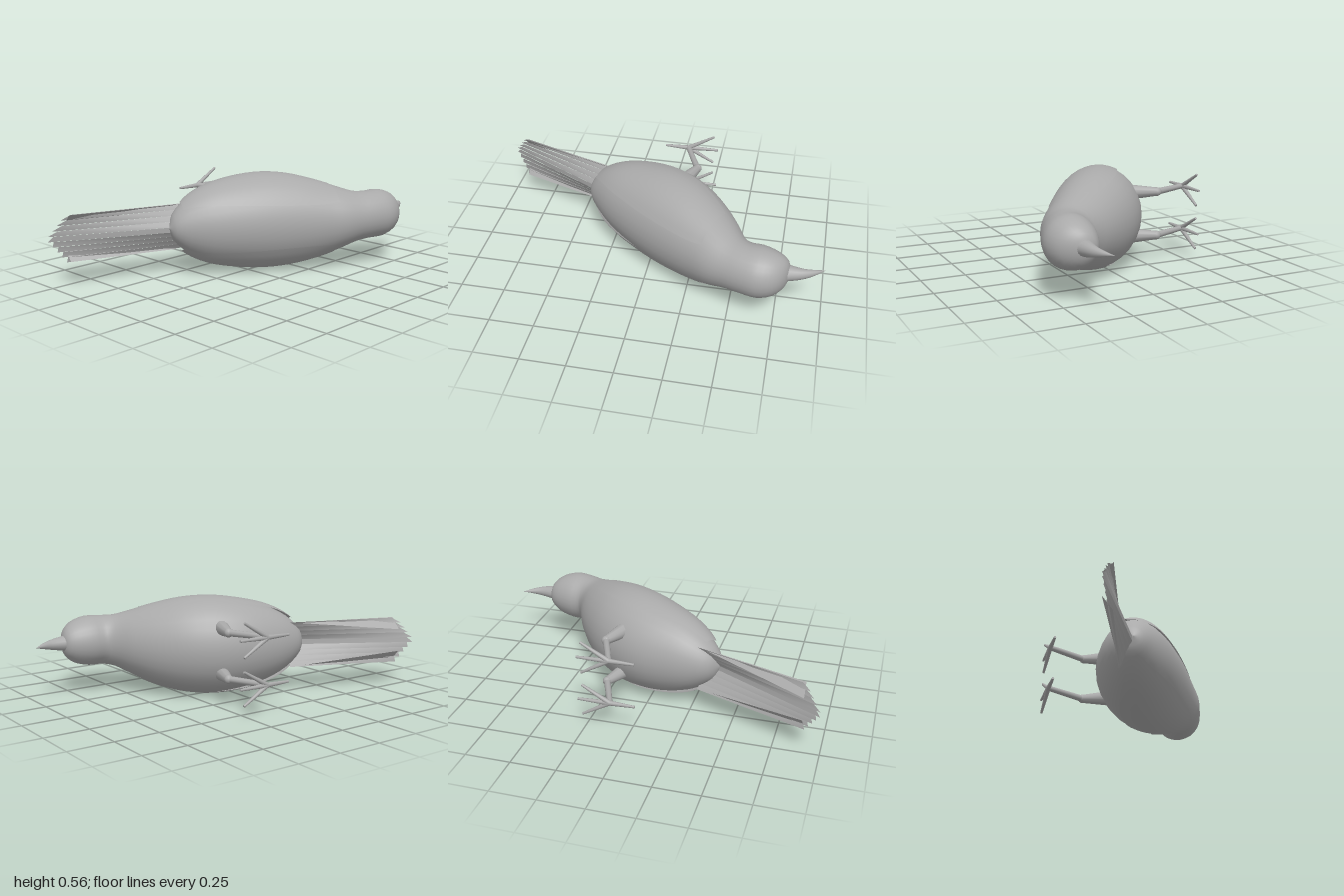
import * as THREE from 'three';

const plumage = new THREE.MeshStandardMaterial({ color: 0xaaaaaa, side: THREE.DoubleSide });
plumage.name = 'grey plumage';
const V = (x, y, z) => new THREE.Vector3(x, y, z);

// The bird lies on its side: its back faces +z, its beak +x, its flanks +y and -y.
// Each section: back x, back z, belly x, belly z, half width, centre y
const BODY = [
  [-0.41, -0.21, -0.41, -0.21, 0, 0.28],
  [-0.405, -0.15, -0.35, -0.28, 0.075, 0.28],
  [-0.36, -0.08, -0.24, -0.31, 0.15, 0.28],
  [-0.27, 0.02, -0.12, -0.315, 0.21, 0.28],
  [-0.14, 0.13, 0.05, -0.295, 0.254, 0.28],
  [0, 0.23, 0.2, -0.235, 0.275, 0.28],
  [0.14, 0.32, 0.33, -0.14, 0.265, 0.28],
  [0.27, 0.4, 0.44, -0.01, 0.228, 0.28],
  [0.36, 0.455, 0.52, 0.12, 0.185, 0.285],
  [0.46, 0.495, 0.57, 0.23, 0.148, 0.292],
  [0.56, 0.535, 0.6, 0.267, 0.14, 0.297],
  [0.65, 0.557, 0.67, 0.277, 0.141, 0.298],
  [0.735, 0.535, 0.75, 0.305, 0.118, 0.298],
  [0.79, 0.48, 0.805, 0.345, 0.073, 0.3],
  [0.82, 0.41, 0.82, 0.41, 0, 0.3],
];
const BEAK = [
  [0.79, 0.455, 0.79, 0.355, 0.045, 0.3],
  [0.88, 0.43, 0.885, 0.373, 0.029, 0.302],
  [0.945, 0.396, 0.945, 0.365, 0.015, 0.304],
  [1, 0.35, 1, 0.35, 0, 0.305],
];

// Returns a surface function: position along the sections, angle from the back, swelling
function surface(sections) {
  const back = new THREE.CatmullRomCurve3(sections.map((s) => V(s[0], s[5], s[1])));
  const belly = new THREE.CatmullRomCurve3(sections.map((s) => V(s[2], s[4], s[3])));
  return (index, angle, scale = 1) => {
    const t = index / (sections.length - 1);
    const b = back.getPoint(t), a = belly.getPoint(t);
    const c = Math.cos(angle) * scale, s = Math.sin(angle) * scale;
    return V((b.x + a.x) / 2 + c * (b.x - a.x) / 2, b.y + s * a.y, (b.z + a.z) / 2 + c * (b.z - a.z) / 2);
  };
}

// Grid of points from fn(u, v), optionally closed around v
function grid(name, nu, nv, closed, fn) {
  const pos = [], idx = [], cols = closed ? nv : nv + 1;
  for (let i = 0; i <= nu; i++)
    for (let j = 0; j < cols; j++) pos.push(...fn(i / nu, j / nv).toArray());
  for (let i = 0; i < nu; i++)
    for (let j = 0; j < nv; j++) {
      const k = (j + 1) % cols;
      const a = i * cols + j, b = a + cols, c = (i + 1) * cols + k, d = i * cols + k;
      idx.push(a, b, c, a, c, d);
    }
  const g = new THREE.BufferGeometry();
  g.setAttribute('position', new THREE.Float32BufferAttribute(pos, 3));
  g.setIndex(idx);
  g.computeVertexNormals();
  return named(name, g);
}

function named(name, geometry) {
  const mesh = new THREE.Mesh(geometry, plumage);
  mesh.name = name;
  return mesh;
}

// Tapered round limb between two points
function limb(name, a, b, ra, rb, sides = 10) {
  const dir = b.clone().sub(a);
  const mesh = named(name, new THREE.CylinderGeometry(rb, ra, dir.length(), sides));
  mesh.position.copy(a).add(b).multiplyScalar(0.5);
  mesh.quaternion.setFromUnitVectors(V(0, 1, 0), dir.normalize());
  return mesh;
}

function ball(name, p, r) {
  const mesh = named(name, new THREE.SphereGeometry(r, 12, 8));
  mesh.position.copy(p);
  return mesh;
}

function makeLeg(side) {
  const leg = new THREE.Group();
  leg.name = side > 0 ? 'upperLeg' : 'lowerLeg';
  const y = 0.28 + side * 0.127;
  const hip = V(0.14, y, -0.16), ankle = V(0.205, y, -0.33), foot = V(0.115, y, -0.55);
  leg.add(limb('thigh', hip, ankle, 0.046, 0.024), ball('hip', hip, 0.046), ball('ankle', ankle, 0.025));
  leg.add(limb('shank', ankle, foot, 0.019, 0.015));
  // Three front toes and one hind toe
  for (const [x, dy] of [[0.27, -0.09], [0.295, 0], [0.27, 0.09], [-0.025, 0]])
    leg.add(limb('toe', V(0.115, y, -0.55), V(x, y + dy, -0.553), 0.014, 0.007, 8));
  return leg;
}

function makeTail() {
  const tail = new THREE.Group();
  tail.name = 'tail';
  const count = 9;
  // Point on the fan: u across (-1..1), v from rump to tip
  const fan = (u, v, reach) => {
    const m = Math.abs(u);
    const base = V(-0.34 + 0.05 * m, 0.268 + 0.13 * u, -0.17 - 0.085 * m);
    const tip = V(-1 + 0.09 * m + reach, 0.263 + 0.132 * u, -0.54 + 0.06 * m);
    return base.lerp(tip, v);
  };
  for (let i = 0; i < count; i++) {
    const u0 = -1 + (2 * i) / count, u1 = u0 + 2 / count;
    // Feathers overlap like shingles and end in slanted tips
    tail.add(grid('tailFeather', 2, 1, false, (v, w) => {
      const p = fan(w ? u1 : u0, v, w ? 0.025 : 0);
      p.z += (w ? 0.012 : -0.006) * v;
      return p;
    }));
  }
  // Outer feathers turned down on edge
  for (const s of [-1, 1])
    tail.add(grid('outerFeather', 2, 1, false, (v, w) =>
      V(-0.3 - 0.6 * v, 0.266 + s * (0.13 - 0.065 * w * v), -0.25 - (0.21 + 0.055 * w) * v)));
  return tail;
}

export function createModel() {
  const bird = new THREE.Group();
  bird.name = 'bird';
  const body = surface(BODY), beak = surface(BEAK);
  bird.add(grid('bodyAndHead', 42, 28, true, (u, v) => body(u * 14, v * Math.PI * 2)));
  bird.add(grid('beak', 9, 14, true, (u, v) => beak(u * 3, v * Math.PI * 2)));

  // Folded wings: thin shells hugging the flanks, lifting off slightly at the rear
  for (const side of [-1, 1]) {
    bird.add(grid(side > 0 ? 'upperWing' : 'lowerWing', 18, 10, false, (u, v) => {
      const w = side > 0 ? v : 1 - v;
      const rear = Math.pow(1 - u, 3), front = Math.pow(u, 6);
      const start = 0.42 + 0.5 * rear + 0.25 * front;
      const end = 2.05 - 0.35 * rear - 0.1 * front;
      const scale = 1.012 + 0.12 * rear;
      return body(1.6 + 6 * u, side * (start + (end - start) * w), scale);
    }));
    bird.add(makeLeg(side));
  }
  bird.add(makeTail());
  return bird;
}
